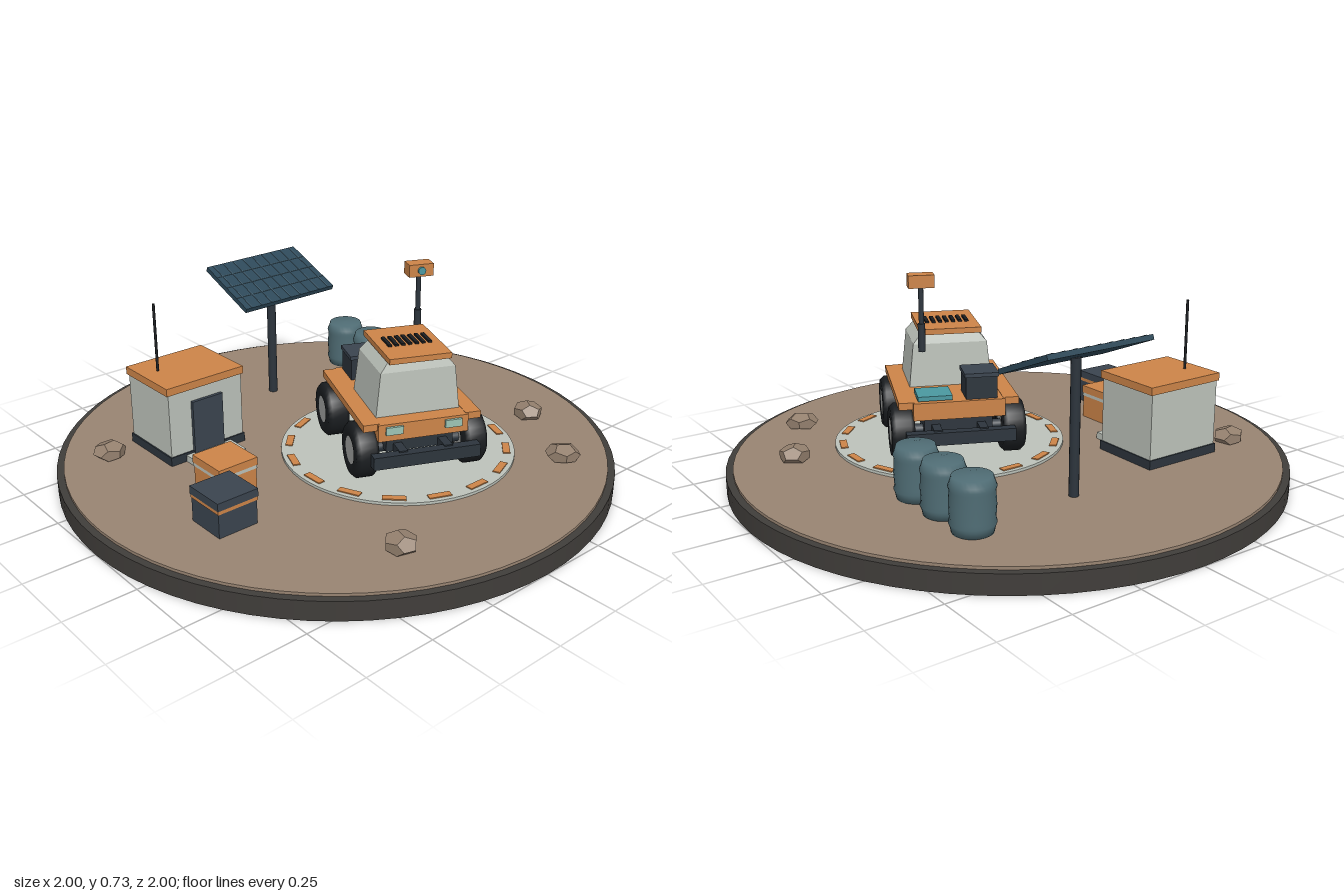
import * as THREE from 'three';

const mat = (color, extra = {}) => new THREE.MeshStandardMaterial({ color, ...extra });
const M = {
  orange: mat(0xcc8448), dark: mat(0x2c343c), slate: mat(0x3a444f), black: mat(0x1a1d20),
  pale: mat(0xbcc2ba), grey: mat(0xa4a6a4), teal: mat(0x4a98a0), lamp: mat(0x9cc4b4),
  soil: mat(0x988472), rim: mat(0x403d3a), rock: mat(0x94806e, { flatShading: true }),
  drum: mat(0x4f6c74), panel: mat(0x2d4858), line: mat(0x4c6a7a),
  cabin: mat(0xbcc2ba, { flatShading: true })
};

function add(parent, name, geo, material, x = 0, y = 0, z = 0) {
  const m = new THREE.Mesh(geo, material);
  m.name = name;
  m.position.set(x, y, z);
  parent.add(m);
  return m;
}
const box = (p, name, m, w, h, d, x, y, z) => add(p, name, new THREE.BoxGeometry(w, h, d), m, x, y, z);
const cyl = (p, name, m, r, h, x, y, z, seg = 24) =>
  add(p, name, new THREE.CylinderGeometry(r, r, h, seg), m, x, y, z);
function group(parent, name, x = 0, y = 0, z = 0) {
  const g = new THREE.Group();
  g.name = name;
  g.position.set(x, y, z);
  parent.add(g);
  return g;
}

// Solid from stacked rectangles [y, halfWidth, halfDepth]
function stackedBox(sections) {
  const pos = [], idx = [];
  for (const [y, w, d] of sections) pos.push(-w, y, d, w, y, d, w, y, -d, -w, y, -d);
  for (let s = 0; s < sections.length - 1; s++)
    for (let i = 0; i < 4; i++) {
      const a = s * 4 + i, b = s * 4 + (i + 1) % 4;
      idx.push(a, b, b + 4, a, b + 4, a + 4);
    }
  const t = (sections.length - 1) * 4;
  idx.push(t, t + 1, t + 2, t, t + 2, t + 3, 0, 2, 1, 0, 3, 2);
  const g = new THREE.BufferGeometry();
  g.setAttribute('position', new THREE.Float32BufferAttribute(pos, 3));
  g.setIndex(idx);
  const flat = g.toNonIndexed();
  flat.computeVertexNormals();
  return flat;
}

function buildGround(root) {
  cyl(root, 'baseRim', M.rim, 1, 0.068, 0, 0.034, 0, 72);
  cyl(root, 'soil', M.soil, 0.975, 0.02, 0, 0.068, 0, 72);
  // Landing pad with a ring of painted dashes
  const pad = group(root, 'landingPad', 0.13, 0, 0.19);
  cyl(pad, 'padDisc', M.pale, 0.42, 0.012, 0, 0.082, 0, 64);
  for (let i = 0; i < 16; i++) {
    const a = i * Math.PI / 8;
    const dash = box(pad, 'padDash', M.orange, 0.08, 0.006, 0.026, Math.sin(a) * 0.39, 0.089, Math.cos(a) * 0.39);
    dash.rotation.y = a;
  }
  // Rocks
  [[-0.695, -0.425, 0.2], [-0.33, 0.69, 1.3], [0.515, 0.635, 2.5], [0.69, 0.325, 4.1]].forEach(([x, z, a]) => {
    const r = add(root, 'rock', new THREE.DodecahedronGeometry(0.06, 0), M.rock, x, 0.1, z);
    r.scale.set(1.05, 0.58, 0.95);
    r.rotation.y = a;
  });
}

function buildWheel(parent, side, z) {
  const wheel = group(parent, 'wheel', side * 0.195, 0.185, z);
  wheel.rotation.z = -side * Math.PI / 2;
  const tyre = [[0.04, -0.04], [0.085, -0.04], [0.098, -0.026], [0.098, 0.026], [0.085, 0.04], [0.05, 0.04], [0.046, 0.03]]
    .map(p => new THREE.Vector2(...p));
  add(wheel, 'tyre', new THREE.LatheGeometry(tyre, 28), mat(0x1a1d20, { side: THREE.DoubleSide }));
  cyl(wheel, 'hub', M.grey, 0.05, 0.076, 0, 0, 0);
}

function buildRover(root) {
  const rover = group(root, 'rover', 0.13, 0, 0.19);
  rover.rotation.y = -0.42;
  box(rover, 'chassis', M.orange, 0.32, 0.062, 0.51, 0, 0.274, 0);
  box(rover, 'underbody', M.dark, 0.24, 0.06, 0.44, 0, 0.215, 0);
  for (const s of [-1, 1]) {
    box(rover, 'sideRail', M.orange, 0.055, 0.025, 0.49, s * 0.182, 0.294, 0);
    box(rover, 'sill', M.orange, 0.03, 0.05, 0.13, s * 0.17, 0.27, 0);
    box(rover, 'bumper', M.dark, 0.38, 0.045, 0.035, 0, 0.188, s * 0.285);
    box(rover, 'headlight', M.lamp, 0.06, 0.028, 0.012, s * 0.105, 0.282, 0.258);
    const axle = cyl(rover, 'axle', M.dark, 0.02, 0.36, 0, 0.185, s * 0.17, 12);
    axle.rotation.z = Math.PI / 2;
    for (const b of [-0.08, 0.08]) box(rover, 'bumperBracket', M.dark, 0.03, 0.03, 0.08, b, 0.2, s * 0.245);
    for (const e of [-1, 1]) buildWheel(rover, s, e * 0.17);
  }
  // Cabin tapers and is chamfered below the roof
  add(rover, 'cabin', stackedBox([[0.3, 0.15, 0.125], [0.46, 0.133, 0.118], [0.5, 0.1, 0.105]]), M.cabin, 0, 0, 0.07);
  box(rover, 'roof', M.orange, 0.22, 0.02, 0.28, 0, 0.508, 0.07);
  for (let i = 0; i < 7; i++) box(rover, 'roofVentSlat', M.black, 0.013, 0.008, 0.08, (i - 3) * 0.024, 0.521, 0.065);
  // Rear deck load
  box(rover, 'cargoBox', M.dark, 0.11, 0.08, 0.11, -0.08, 0.345, -0.185);
  box(rover, 'cargoLid', M.slate, 0.12, 0.014, 0.12, -0.08, 0.391, -0.185);
  box(rover, 'deckPanel', M.teal, 0.12, 0.016, 0.11, 0.083, 0.317, -0.19);
  // Camera mast
  const mast = group(rover, 'cameraMast', 0.111, 0, -0.126);
  cyl(mast, 'mastLower', M.dark, 0.013, 0.1, 0, 0.505, 0, 12);
  cyl(mast, 'mastUpper', M.dark, 0.009, 0.15, 0, 0.62, 0, 12);
  box(mast, 'cameraHead', M.orange, 0.09, 0.045, 0.055, 0, 0.707, 0);
  const lens = cyl(mast, 'cameraLens', M.teal, 0.014, 0.012, 0, 0.707, 0.03, 16);
  lens.rotation.x = Math.PI / 2;
}

function buildHut(root) {
  const hut = group(root, 'hut', -0.415, 0, -0.345);
  box(hut, 'hutPlinth', M.dark, 0.315, 0.035, 0.265, 0, 0.093, 0);
  box(hut, 'hutWalls', M.pale, 0.305, 0.25, 0.255, 0, 0.225, 0);
  box(hut, 'hutRoof', M.orange, 0.32, 0.028, 0.265, 0, 0.36, 0);
  box(hut, 'door', M.slate, 0.125, 0.2, 0.02, 0, 0.2, 0.13);
  box(hut, 'doorStep', M.pale, 0.19, 0.025, 0.1, 0, 0.09, 0.175);
  cyl(hut, 'antenna', M.black, 0.005, 0.25, -0.095, 0.5, -0.025, 10);
}

function buildSolarPanel(root) {
  const solar = group(root, 'solarArray', 0.095, 0, -0.5);
  cyl(solar, 'solarPost', M.dark, 0.017, 0.47, 0, 0.31, 0, 14);
  const tilt = group(solar, 'solarPanel', 0, 0.553, 0);
  tilt.rotation.x = 0.39;
  box(tilt, 'panelSlab', M.panel, 0.42, 0.018, 0.268, 0, 0, 0);
  for (let i = -4; i <= 4; i++) box(tilt, 'cellLine', M.line, 0.003, 0.003, 0.262, i * 0.046, 0.0095, 0);
  for (let i = -1; i <= 1; i++) box(tilt, 'cellLine', M.line, 0.415, 0.003, 0.003, 0, 0.0095, i * 0.066);
}

function buildStores(root) {
  // Ribbed drums
  const profile = [[0, 0.08], [0.066, 0.08], [0.07, 0.1], [0.075, 0.112], [0.071, 0.124], [0.074, 0.17],
    [0.071, 0.216], [0.075, 0.228], [0.07, 0.24], [0.064, 0.26], [0, 0.262]].map(p => new THREE.Vector2(...p));
  for (const z of [-0.54, -0.378, -0.215])
    add(root, 'drum', new THREE.LatheGeometry(profile, 28), M.drum, 0.515, 0, z);
  // Crates with a band under the lid
  [[-0.52, 0.04, M.orange, M.pale], [-0.645, 0.21, M.slate, M.orange]].forEach(([x, z, body, band]) => {
    const crate = group(root, 'crate', x, 0, z);
    box(crate, 'crateBody', body, 0.148, 0.09, 0.148, 0, 0.122, 0);
    box(crate, 'crateBand', band, 0.152, 0.014, 0.152, 0, 0.17, 0);
    box(crate, 'crateLid', body, 0.155, 0.028, 0.155, 0, 0.19, 0);
  });
}

export function createModel() {
  const root = new THREE.Group();
  root.name = 'roverOutpost';
  buildGround(root);
  buildRover(root);
  buildHut(root);
  buildSolarPanel(root);
  buildStores(root);
  return root;
}
